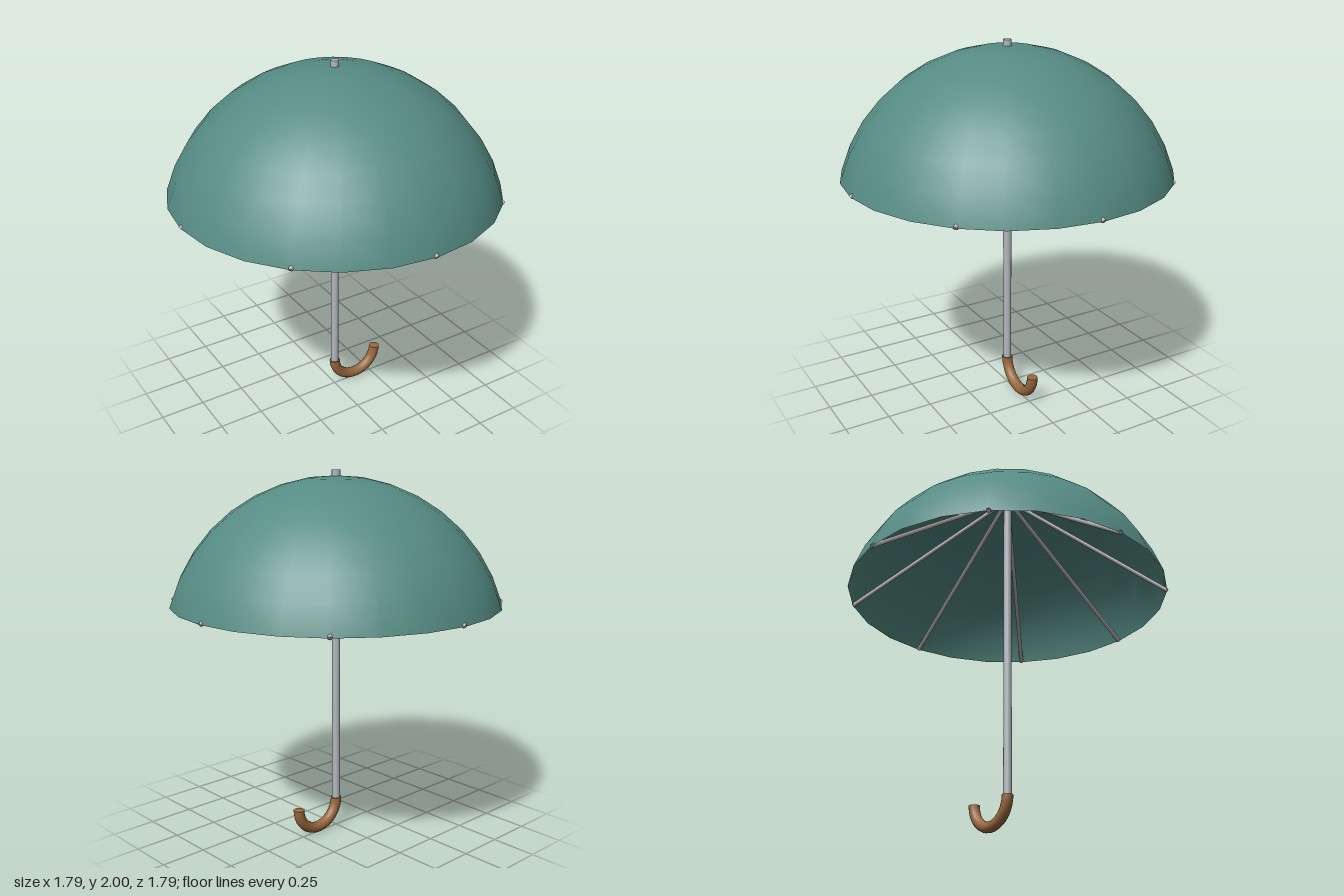
import * as THREE from 'three';

const RADIUS = 0.925, ANGLE = Math.PI * 0.41, TOP = 1.97;
const RIM_RADIUS = RADIUS * Math.sin(ANGLE);
const RIM_Y = TOP - RADIUS + RADIUS * Math.cos(ANGLE);
const RIBS = 8;

export function createModel() {
  const fabric = new THREE.MeshStandardMaterial({ name: 'green fabric', color: 0x568c84, side: THREE.DoubleSide });
  const metal = new THREE.MeshStandardMaterial({ name: 'pole metal', color: 0xb4b9be });
  const ribMetal = new THREE.MeshStandardMaterial({ name: 'rib metal', color: 0xb6b2b6 });
  const wood = new THREE.MeshStandardMaterial({ name: 'brown wood', color: 0x996840 });

  const group = new THREE.Group();
  group.name = 'umbrella';
  const add = (parent, name, geometry, material, x = 0, y = 0, z = 0) => {
    const mesh = new THREE.Mesh(geometry, material);
    mesh.name = name;
    mesh.position.set(x, y, z);
    parent.add(mesh);
    return mesh;
  };

  // Canopy: thin cap of a sphere
  add(group, 'canopy', new THREE.SphereGeometry(RADIUS, 24, 8, 0, Math.PI * 2, 0, ANGLE), fabric, 0, TOP - RADIUS, 0);

  // Pole, standing out above the canopy as a short tip
  add(group, 'pole', new THREE.CylinderGeometry(0.0225, 0.0225, 1.83, 16), metal, 0, 1.085, 0);

  // Ribs: straight rods from the crown to the rim
  const ribs = new THREE.Group();
  ribs.name = 'ribs';
  group.add(ribs);
  const crown = new THREE.Vector3(0, TOP - 0.01, 0);
  const up = new THREE.Vector3(0, 1, 0);
  for (let i = 0; i < RIBS; i++) {
    const a = (i / RIBS) * Math.PI * 2;
    const end = new THREE.Vector3(Math.cos(a) * RIM_RADIUS, RIM_Y, Math.sin(a) * RIM_RADIUS);
    const span = crown.clone().sub(end);
    const rib = add(ribs, 'rib', new THREE.CylinderGeometry(0.012, 0.012, span.length(), 8), ribMetal);
    rib.position.copy(end).addScaledVector(span, 0.5);
    rib.quaternion.setFromUnitVectors(up, span.normalize());
  }

  // Hooked handle: lower half of a ring with closed ends
  const handle = new THREE.Group();
  handle.name = 'handle';
  handle.position.set(0.14, 0.17, 0);
  group.add(handle);
  add(handle, 'hook', new THREE.TorusGeometry(0.14, 0.03, 14, 28, Math.PI), wood).rotation.z = Math.PI;
  for (const x of [-0.14, 0.14]) {
    add(handle, 'hookEnd', new THREE.CircleGeometry(0.03, 14), wood, x, 0, 0).rotation.x = -Math.PI / 2;
  }

  return group;
}
